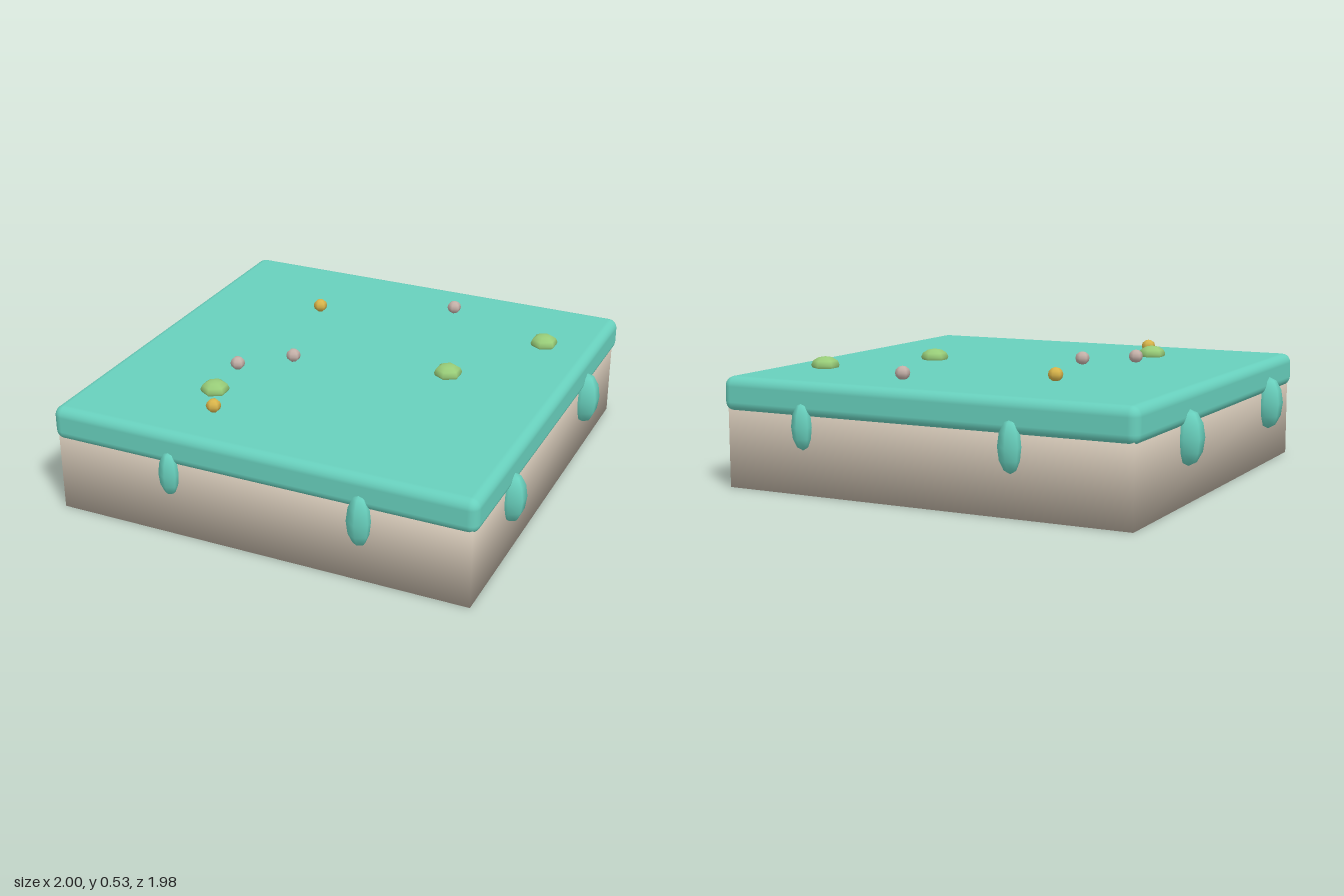
import * as THREE from 'three';
import { mergeVertices } from 'three/addons/utils/BufferGeometryUtils.js';
import { RoundedBoxGeometry } from 'three/addons/geometries/RoundedBoxGeometry.js';

const material = (name, color) => {
  const m = new THREE.MeshStandardMaterial({ color });
  m.name = name;
  return m;
};

export function createModel() {
  const teal = material('teal icing', 0x68d0bd);
  const stone = material('beige base', 0xcabeae);
  const green = material('leaf green', 0x98cc78);
  const yellow = material('golden yellow', 0xd8b44a);
  const pink = material('dusty pink', 0xc4b0a8);

  const model = new THREE.Group();
  model.name = 'icedTile';
  const add = (name, geometry, mat, x, y, z) => {
    const mesh = new THREE.Mesh(geometry, mat);
    mesh.name = name;
    mesh.position.set(x, y, z);
    model.add(mesh);
    return mesh;
  };

  // Base block with normals shared across its corners
  let block = new THREE.BoxGeometry(1.85, 0.35, 1.86);
  block.deleteAttribute('normal');
  block.deleteAttribute('uv');
  block = mergeVertices(block);
  block.computeVertexNormals();
  add('base', block, stone, 0, 0.175, -0.003);

  // Rounded covering slab
  add('topSlab', new RoundedBoxGeometry(1.89, 0.15, 1.89, 3, 0.042), teal, 0, 0.4, -0.005);

  // Six-sided bead, its corners pointing along z
  const bead = new THREE.SphereGeometry(1, 6, 6).rotateY(Math.PI / 2);
  const addBead = (name, mat, x, y, z, r, ry) =>
    add(name, bead, mat, x, y, z).scale.set(r, ry, r);

  // Drips hanging over the edges: x, z, radius, centre height, half height
  const drips = [
    [-0.39, 0.932, 0.046, 0.29, 0.1],
    [0.46, 0.932, 0.054, 0.28, 0.116],
    [-0.415, -0.94, 0.051, 0.285, 0.108],
    [0.545, -0.94, 0.047, 0.29, 0.1],
    [0.942, -0.46, 0.066, 0.28, 0.12],
    [0.94, 0.515, 0.06, 0.28, 0.111],
    [-0.943, -0.415, 0.065, 0.28, 0.115],
    [-0.943, 0.595, 0.066, 0.284, 0.118],
  ];
  for (const [x, z, r, y, ry] of drips) addBead('drip', teal, x, y, z, r, ry);

  // Flattened green tufts
  for (const [x, z] of [[-0.4, 0.52], [0.44, -0.04], [0.72, -0.51]])
    addBead('tuft', green, x, 0.487, z, 0.062, 0.038);

  // Small round sprinkles
  for (const [x, z] of [[-0.367, -0.443], [-0.313, 0.687]])
    addBead('yellowSprinkle', yellow, x, 0.502, z, 0.032, 0.03);
  for (const [x, z] of [[0.217, -0.687], [-0.233, 0.11], [-0.418, 0.283]])
    addBead('pinkSprinkle', pink, x, 0.502, z, 0.032, 0.03);

  return model;
}
